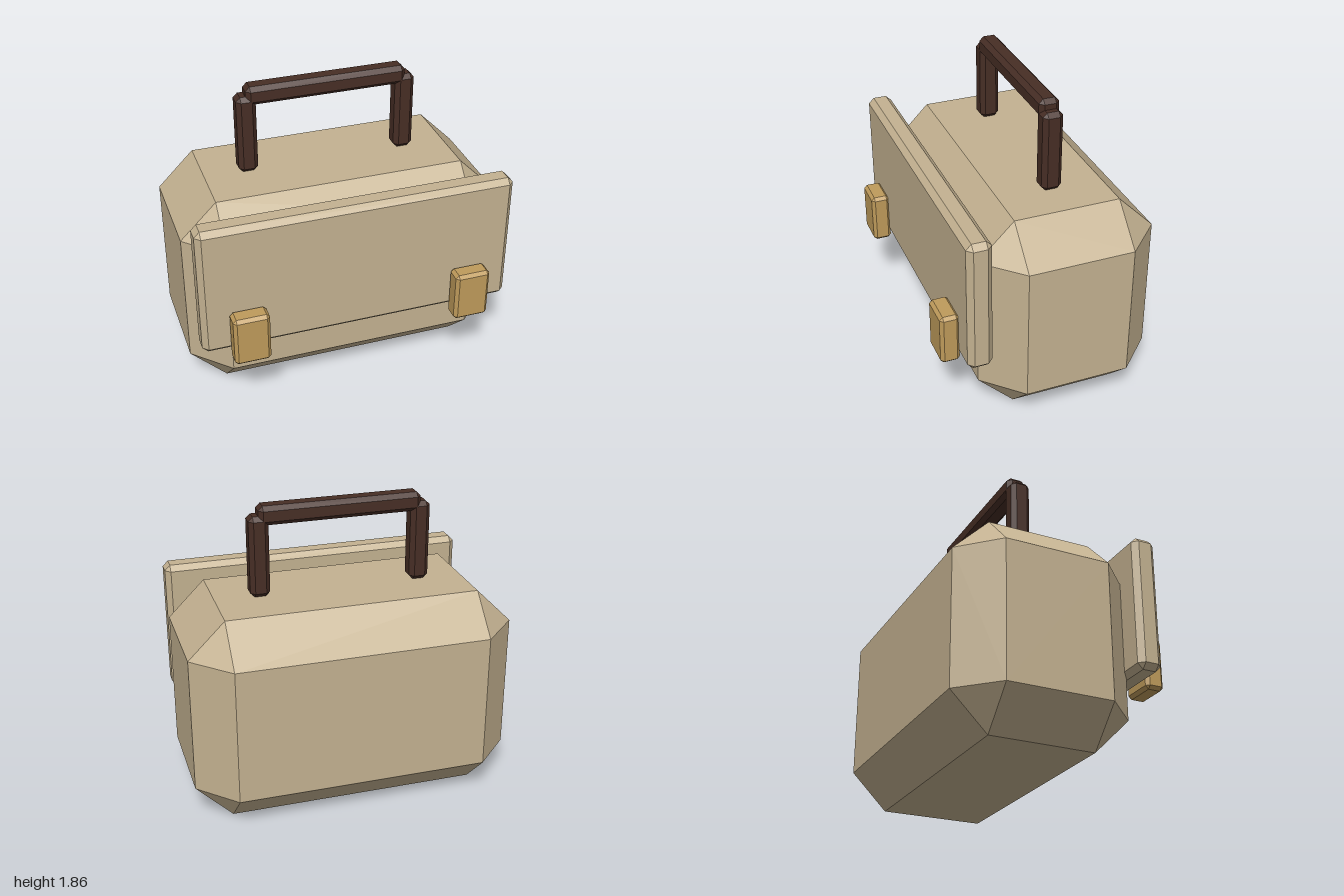
import * as THREE from 'three';
import { ConvexGeometry } from 'three/addons/geometries/ConvexGeometry.js';

// Box with flat chamfered edges and triangular corners, centred on the origin
function chamferBox(w, h, d, b) {
  const points = [];
  for (const sx of [-1, 1]) for (const sy of [-1, 1]) for (const sz of [-1, 1]) {
    const x = w / 2, y = h / 2, z = d / 2;
    points.push(
      new THREE.Vector3(sx * x, sy * (y - b), sz * (z - b)),
      new THREE.Vector3(sx * (x - b), sy * y, sz * (z - b)),
      new THREE.Vector3(sx * (x - b), sy * (y - b), sz * z),
    );
  }
  return new ConvexGeometry(points); // already has one normal per face
}

function material(name, color) {
  const m = new THREE.MeshStandardMaterial({ color });
  m.name = name;
  return m;
}

export function createModel() {
  const group = new THREE.Group();
  group.name = 'satchel';

  const canvas = material('canvas', 0xc4b291);
  const brass = material('brass', 0xbf9b5b);
  const leather = material('darkLeather', 0x472e25);

  // Adds a chamfered box given its extents on each axis
  function add(name, mat, [x0, x1], [y0, y1], [z0, z1], bevel) {
    const mesh = new THREE.Mesh(chamferBox(x1 - x0, y1 - y0, z1 - z0, bevel), mat);
    mesh.position.set((x0 + x1) / 2, (y0 + y1) / 2, (z0 + z1) / 2);
    mesh.name = name;
    group.add(mesh);
  }

  // Bag body and front flap
  add('body', canvas, [-1, 1], [0, 1.302], [-0.668, 0.432], 0.225);
  add('flap', canvas, [-0.977, 0.977], [0.478, 1.328], [0.405, 0.557], 0.034);

  // Mirrored buckles and handle posts
  for (const [side, s] of [['left', 1], ['right', -1]]) {
    const span = (a, b) => (s > 0 ? [a, b] : [-b, -a]);
    add(side + 'Buckle', brass, span(0.588, 0.81), [0.439, 0.765], [0.55, 0.668], 0.02);
    add(side + 'HandlePost', leather, span(0.439, 0.56), [1.302, 1.802], [-0.182, -0.058], 0.027);
  }

  // Handle grip
  add('handleGrip', leather, [-0.5, 0.5], [1.744, 1.862], [-0.182, -0.058], 0.027);

  return group;
}
